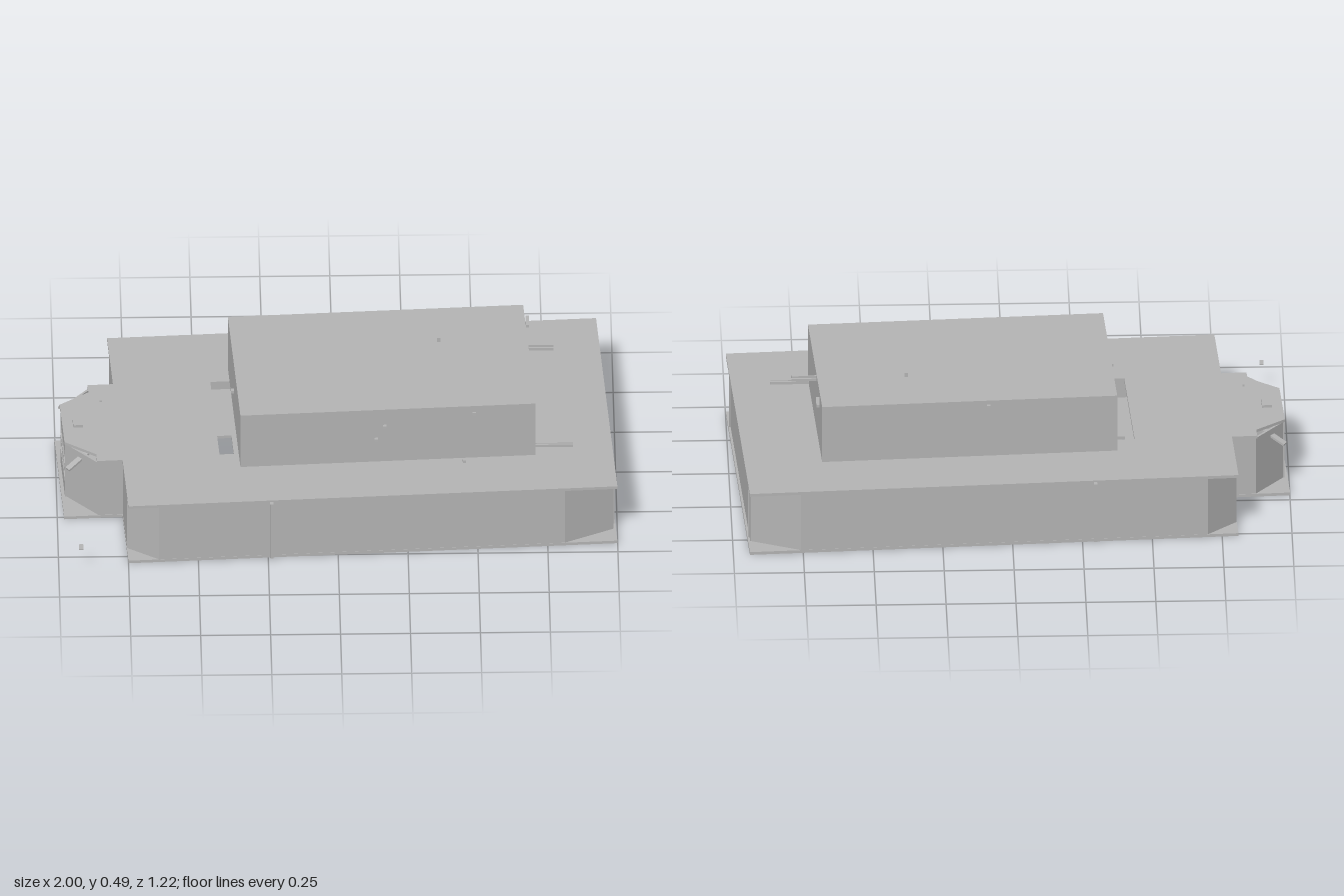
import * as THREE from 'three';

export function createModel() {
  const root = new THREE.Group();
  const building = new THREE.Group();
  building.name = 'building';
  building.rotation.y = 0.055; // the plan sits slightly askew
  root.add(building);

  const grey = new THREE.MeshStandardMaterial({ color: 0xb4b4b4 });
  grey.name = 'plain grey';

  function add(parent, name, geometry, x = 0, y = 0, z = 0) {
    const mesh = new THREE.Mesh(geometry, grey);
    mesh.name = name;
    mesh.position.set(x, y, z);
    parent.add(mesh);
    return mesh;
  }
  const box = (parent, name, w, h, d, x, y, z) =>
    add(parent, name, new THREE.BoxGeometry(w, h, d), x, y, z);

  // Flat slab from a plan outline, with the stair slot cut through
  function slab(name, outline, top) {
    const shape = new THREE.Shape(outline.map(([x, z]) => new THREE.Vector2(x, z)));
    const slot = [[-0.431, -0.258], [-0.431, 0.198], [-0.355, 0.198], [-0.355, -0.258]];
    shape.holes.push(new THREE.Path(slot.map(([x, z]) => new THREE.Vector2(x, z))));
    const g = new THREE.ExtrudeGeometry(shape, { depth: 0.011, bevelEnabled: false });
    g.rotateX(Math.PI / 2);
    add(building, name, g, 0, top, 0);
  }

  // Upright wall along a plan line; its thickness lies inside the outline
  function wall(name, [x1, z1], [x2, z2], y0, y1, t = 0.008) {
    const dx = x2 - x1, dz = z2 - z1, len = Math.hypot(dx, dz);
    const m = box(building, name, len, y1 - y0, t,
      (x1 + x2) / 2 - dz / len * t / 2, (y0 + y1) / 2, (z1 + z2) / 2 + dx / len * t / 2);
    m.rotation.y = -Math.atan2(dz, dx);
  }

  // Floor and roof slabs; the porch end of the roof has clipped corners
  const main = [[-0.779, -0.559], [0.973, -0.559], [0.973, 0.5], [-0.779, 0.5]];
  slab('floorSlab', [...main, [-0.779, 0.208], [-0.988, 0.208], [-0.988, -0.27], [-0.779, -0.27]], 0.011);
  slab('roofSlab', [...main, [-0.779, 0.208], [-0.87, 0.208], [-0.87, 0.165], [-0.978, 0.08],
    [-0.978, -0.155], [-0.87, -0.225], [-0.87, -0.27], [-0.779, -0.27]], 0.247);

  // Outer walls with canted corners
  const plan = [[-0.778, -0.27], [-0.778, -0.475], [-0.67, -0.558], [0.79, -0.558], [0.965, -0.475],
    [0.965, 0.424], [0.785, 0.499], [-0.67, 0.499], [-0.778, 0.42], [-0.778, 0.208]];
  for (let i = 0; i < plan.length - 1; i++) wall('outerWall', plan[i], plan[i + 1], 0.011, 0.236);

  // Porch side and canted walls
  const porch = [[-0.778, 0.206], [-0.865, 0.206], [-0.972, 0.08]];
  const porchBack = [[-0.972, -0.155], [-0.865, -0.268], [-0.778, -0.268]];
  for (const p of [porch, porchBack])
    for (let i = 0; i < 2; i++) wall('porchWall', p[i], p[i + 1], 0.011, 0.236);

  // Porch entrance frame
  for (const z of [-0.15, -0.07, 0, 0.075]) box(building, 'porchPost', 0.012, 0.225, 0.01, -0.97, 0.124, z);
  box(building, 'porchSill', 0.012, 0.06, 0.235, -0.97, 0.041, -0.037);
  box(building, 'porchRail', 0.012, 0.012, 0.235, -0.97, 0.125, -0.037);
  box(building, 'porchLintel', 0.012, 0.05, 0.235, -0.97, 0.212, -0.037);
  box(building, 'porchLamp', 0.035, 0.01, 0.055, -0.922, 0.252, -0.035);
  // Sloping braces beside the entrance
  for (const s of [-1, 1]) {
    const brace = box(building, 'porchBrace', 0.125, 0.008, 0.022, -0.925, 0.21, -0.032 + s * 0.165);
    brace.rotation.set(0, s * 0.6, 0.38);
  }

  // Upper storey
  box(building, 'upperStorey', 1.058, 0.223, 0.622, 0.167, 0.3585, -0.029);

  // Slim wall fins on the long sides and cover strips on the end wall
  for (const z of [-0.562, 0.503]) box(building, 'wallFin', 0.012, 0.234, 0.028, -0.266, 0.124, z);
  for (const z of [-0.44, 0.388]) box(building, 'endStrip', 0.006, 0.225, 0.01, 0.967, 0.124, z);

  // Bars sticking out of the upper storey's end
  for (const z of [-0.142, -0.122]) box(root, 'endBar', 0.09, 0.01, 0.006, 0.735, 0.455, z);
  for (const z of [0.194, 0.206]) box(root, 'lowBar', 0.14, 0.01, 0.007, 0.775, 0.262, z);

  // Small pegs and fittings on the upper walls and roof
  const pegs = [
    [0.17, 0.4, 0.275], [0.14, 0.345, 0.277], [0.49, 0.44, 0.256], [0.455, 0.253, 0.283],
    [0.08, 0.45, -0.35], [0.69, 0.42, -0.005], [0.69, 0.42, 0.19], [-0.37, 0.4, 0.045],
    [0.69, 0.45, -0.28], [0.69, 0.45, -0.295], [0.69, 0.45, -0.31], [0.69, 0.45, -0.325]];
  for (const [x, y, z] of pegs) box(root, 'wallPeg', 0.012, 0.01, 0.016, x, y, z);
  box(root, 'roofVent', 0.012, 0.02, 0.012, 0.37, 0.478, -0.155);

  // Loose markers beside the building
  box(root, 'groundMarker', 0.015, 0.005, 0.03, -0.92, 0.105, 0.59);
  box(root, 'porchMarker', 0.008, 0.008, 0.008, -0.84, 0.333, 0.0);
  return root;
}
